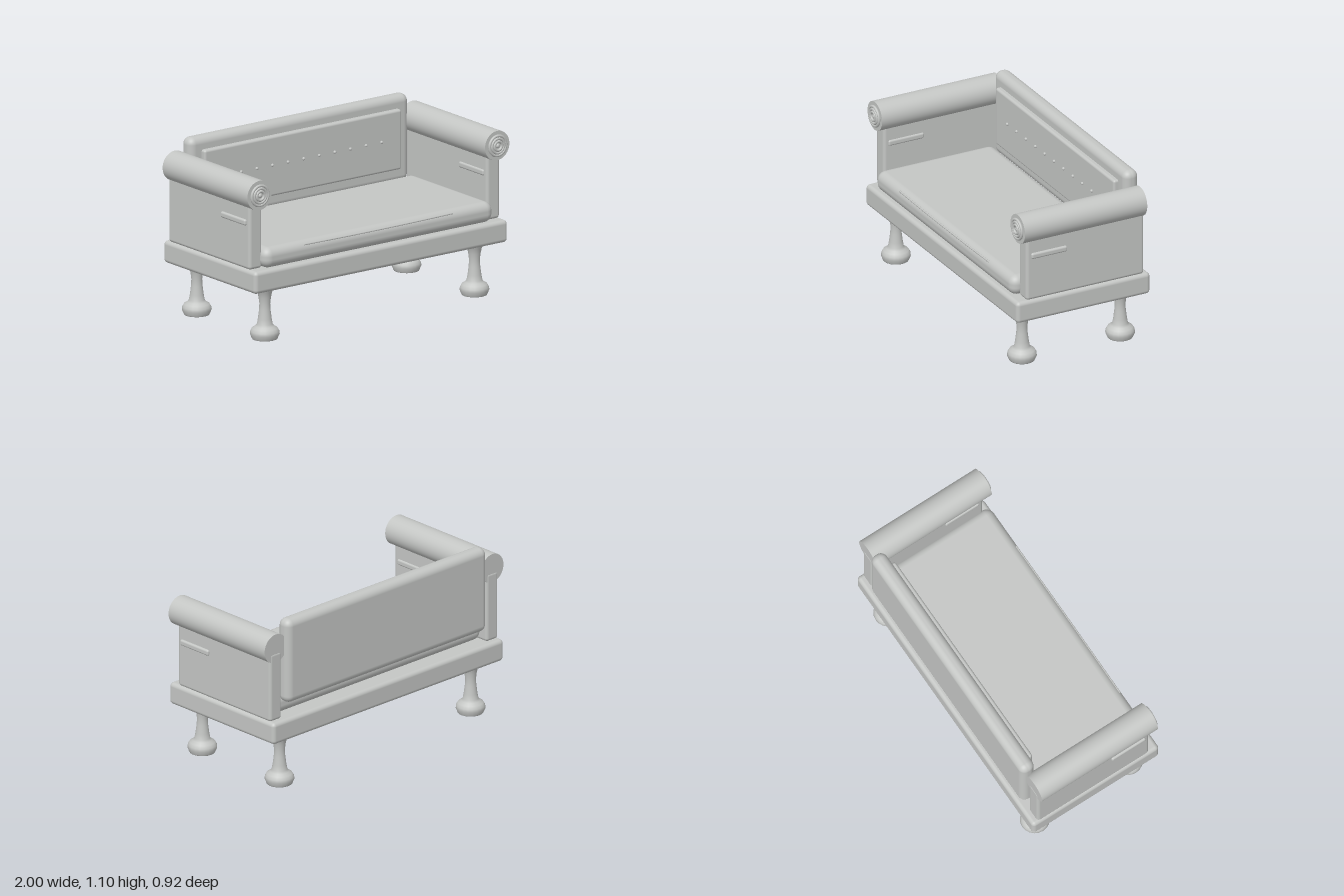
import * as THREE from 'three';
import { RoundedBoxGeometry } from 'three/addons/geometries/RoundedBoxGeometry.js';

export function createModel() {
  const sofa = new THREE.Group();
  sofa.name = 'sofa';
  const grey = new THREE.MeshStandardMaterial({ color: 0xc4c6c4 });
  grey.name = 'grey';

  const add = (name, geometry, x = 0, y = 0, z = 0) => {
    const mesh = new THREE.Mesh(geometry, grey);
    mesh.name = name;
    mesh.position.set(x, y, z);
    sofa.add(mesh);
    return mesh;
  };
  // Rounded box given by its limits on each axis
  const box = (name, [x0, x1], [y0, y1], [z0, z1], r) =>
    add(name, new RoundedBoxGeometry(x1 - x0, y1 - y0, z1 - z0, 4, r),
      (x0 + x1) / 2, (y0 + y1) / 2, (z0 + z1) / 2);

  // Body
  box('base', [-0.965, 0.965], [0.325, 0.465], [-0.46, 0.46], 0.025);
  box('seatCushion', [-0.875, 0.875], [0.462, 0.592], [-0.37, 0.445], 0.055);
  box('backrest', [-0.837, 0.837], [0.553, 1.1], [-0.453, -0.352], 0.045);
  box('backPanel', [-0.752, 0.752], [0.645, 1.022], [-0.37, -0.32], 0.015);

  // Row of buttons across the back panel
  const button = new THREE.SphereGeometry(0.01, 12, 8);
  for (let i = -5; i <= 5; i++) add('button', button, i * 0.119, 0.842, -0.318);

  // Seam along the front of the cushion
  const seam = new THREE.CatmullRomCurve3([
    new THREE.Vector3(-0.575, 0.571, 0.433),
    new THREE.Vector3(-0.2, 0.568, 0.435),
    new THREE.Vector3(0.2, 0.568, 0.435),
    new THREE.Vector3(0.56, 0.571, 0.433),
  ]);
  add('cushionSeam', new THREE.TubeGeometry(seam, 32, 0.006, 8, false));

  // Arms
  const roll = new THREE.CylinderGeometry(0.093, 0.093, 0.842, 40).rotateX(Math.PI / 2);
  const knob = new THREE.SphereGeometry(0.014, 16, 10).scale(1, 1, 0.8);
  for (const s of [-1, 1]) {
    const span = (a, b) => (s > 0 ? [a, b] : [-b, -a]);
    box('armPanel', span(0.857, 0.956), [0.463, 0.908], [-0.42, 0.39], 0.02);
    box('armStrap', span(0.848, 0.97), [0.739, 0.777], [0.114, 0.36], 0.012);
    add('armRoll', roll, s * 0.907, 0.935, 0.004);
    // Concentric scroll rings on the front end
    for (const [r, z] of [[0.062, 0.43], [0.045, 0.433], [0.028, 0.435]])
      add('scrollRing', new THREE.TorusGeometry(r, 0.009, 10, 32), s * 0.907, 0.935, z);
    add('scrollCentre', knob, s * 0.907, 0.935, 0.43);
  }

  // Turned legs
  const profile = [
    [0, 0], [0.078, 0], [0.08, 0.004], [0.091, 0.03], [0.088, 0.048], [0.078, 0.066],
    [0.058, 0.078], [0.048, 0.092], [0.042, 0.125], [0.035, 0.18], [0.033, 0.22],
    [0.038, 0.26], [0.046, 0.295], [0.062, 0.322], [0.062, 0.335],
  ].map(([r, y]) => new THREE.Vector2(r, y));
  const leg = new THREE.LatheGeometry(profile, 20);
  for (const x of [-0.8, 0.8])
    for (const z of [-0.338, 0.338]) add('leg', leg, x, 0, z);

  return sofa;
}
